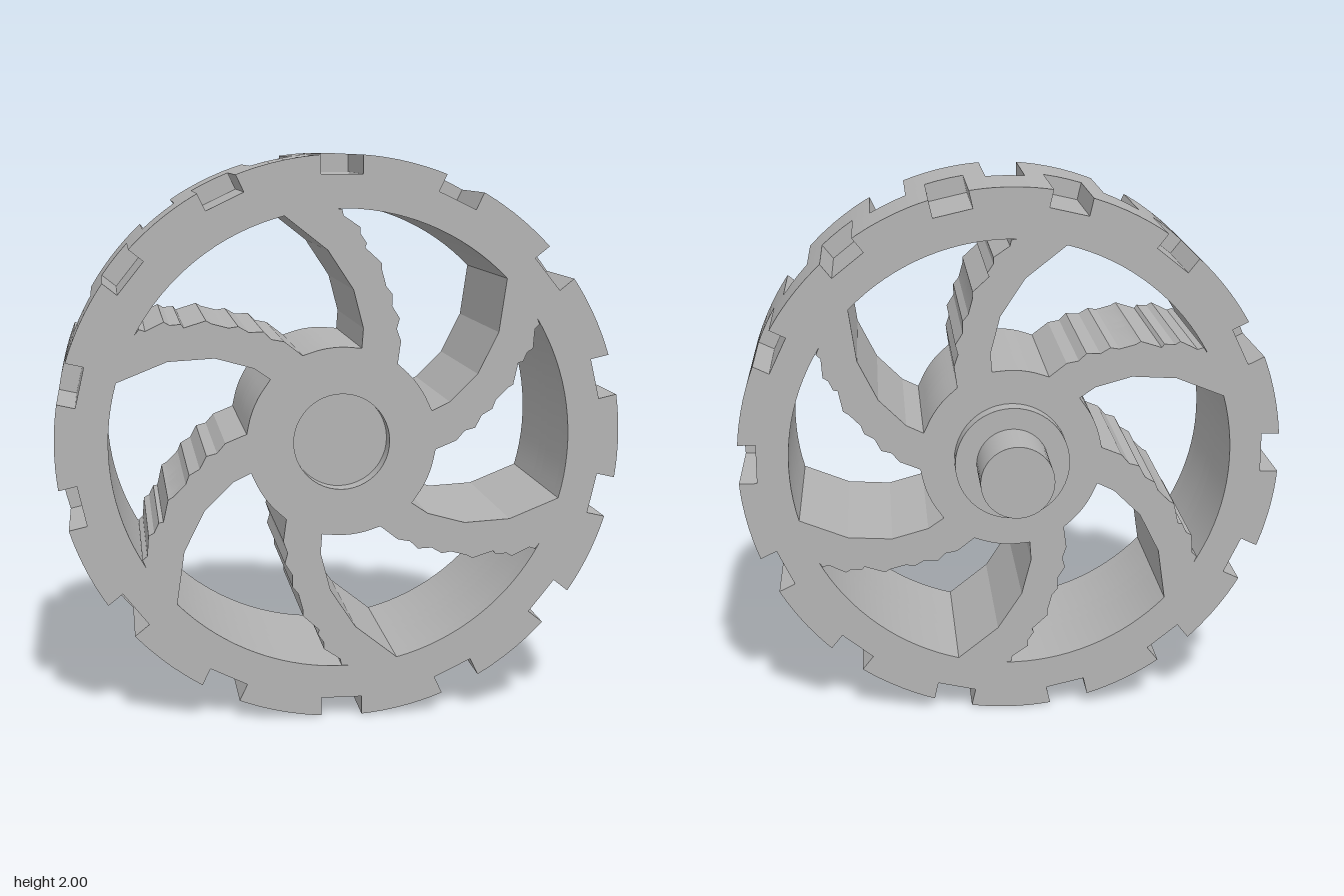
import * as THREE from 'three';
import { toCreasedNormals } from 'three/addons/utils/BufferGeometryUtils.js';

const DEG = Math.PI / 180;
const NOTCHES = 14;
const PITCH = (Math.PI * 2) / NOTCHES;
const HALF_WIDTH = 0.073; // tread notch half width
const FLOOR = 0.932; // tread notch floor distance from the axle

// Serrated edge of the top spoke, from rim to hub
const serrated = [
  [-0.027, 0.815], [0, 0.812], [0.005, 0.79], [0.064, 0.75], [0.064, 0.727],
  [0.086, 0.695], [0.08, 0.68], [0.139, 0.626], [0.139, 0.604], [0.155, 0.545],
  [0.176, 0.519], [0.176, 0.476], [0.203, 0.433], [0.193, 0.396], [0.208, 0.353], [0.197, 0.273],
];
// Plain edge of the top spoke, from hub to rim
const plain = [[0.07, 0.33], [0.075, 0.4], [0.04, 0.535], [-0.05, 0.672], [-0.2, 0.79]];

const rotate = ([x, y], a) =>
  new THREE.Vector2(x * Math.cos(a) - y * Math.sin(a), x * Math.sin(a) + y * Math.cos(a));

function arc(r, a0, a1, n) {
  return Array.from({ length: n + 1 }, (_, i) => {
    const a = a0 + ((a1 - a0) * i) / n;
    return new THREE.Vector2(r * Math.cos(a), r * Math.sin(a));
  });
}

// Opening between two neighbouring spokes
function opening(turn) {
  const next = turn - 60 * DEG;
  return new THREE.Path([
    ...serrated.map((p) => rotate(p, turn)),
    ...arc(0.335, 54 * DEG + turn, 18 * DEG + turn, 8).slice(1, -1),
    ...plain.map((p) => rotate(p, next)),
    ...arc(0.815, 44.2 * DEG + turn, 91.9 * DEG + turn, 16).slice(1, -1),
  ]);
}

// Wheel outline with the notches of either tread row
function wheelShape(frontRow, backRow) {
  const steps = NOTCHES * 2;
  const h = Math.asin(HALF_WIDTH);
  const points = [];
  for (let i = 0; i < steps; i++) {
    const a = 90 * DEG + (i * PITCH) / 2;
    if (i % 2 ? backRow : frontRow) {
      points.push(...[[1, -1], [0, -1], [0, 1], [1, 1]].map(([outer, side]) =>
        rotate([outer ? Math.cos(h) : FLOOR, side * HALF_WIDTH], a)));
    } else {
      points.push(...arc(1, a - h, a + h, 3));
    }
    points.push(...arc(1, a + h, a + PITCH / 2 - h, 3).slice(1, -1));
  }
  const shape = new THREE.Shape(points);
  for (let i = 0; i < 6; i++) shape.holes.push(opening(i * 60 * DEG));
  return shape;
}

export function createModel() {
  const group = new THREE.Group();
  const grey = new THREE.MeshStandardMaterial({ color: 0xb4b4b4 });
  grey.name = 'grey';

  function add(name, geometry) {
    const mesh = new THREE.Mesh(geometry, grey);
    mesh.name = name;
    mesh.position.y = 1;
    group.add(mesh);
  }

  // Wheel slices: the tread rows overlap in the middle, the hub is recessed in front
  const slices = [
    ['wheelBack', -0.19, 0.1, false, true],
    ['wheelMiddle', 0.1, 0.19, true, true],
    ['wheelFront', 0.19, 0.41, true, false],
    ['wheelFace', 0.41, 0.48, true, false],
  ];
  for (const [name, z0, z1, frontRow, backRow] of slices) {
    const shape = wheelShape(frontRow, backRow);
    if (name === 'wheelFace') shape.holes.push(new THREE.Path(arc(0.17, 0, Math.PI * 2, 48).slice(0, -1)));
    const geometry = new THREE.ExtrudeGeometry(shape, { depth: z1 - z0, bevelEnabled: false });
    geometry.translate(0, 0, z0);
    add(name, toCreasedNormals(geometry, 16 * DEG));
  }

  // Axle collar and shaft behind the hub
  for (const [name, r, z0, z1] of [['collar', 0.21, -0.255, -0.19], ['shaft', 0.132, -0.48, -0.255]]) {
    const geometry = new THREE.CylinderGeometry(r, r, z1 - z0, 48);
    geometry.rotateX(Math.PI / 2).translate(0, 0, (z0 + z1) / 2);
    add(name, geometry);
  }
  return group;
}
